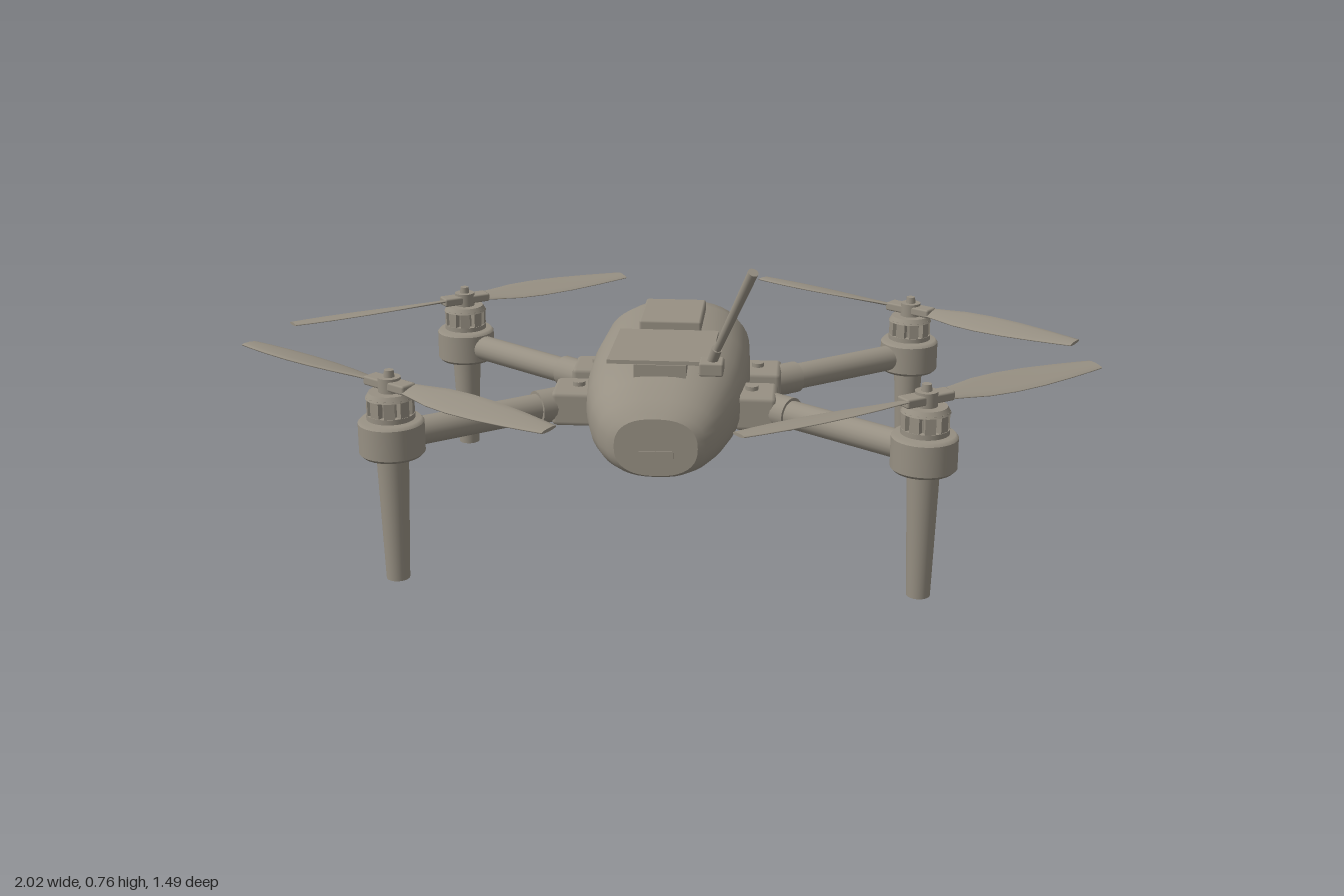
import * as THREE from 'three';
import { RoundedBoxGeometry } from 'three/addons/geometries/RoundedBoxGeometry.js';

const grey = new THREE.MeshStandardMaterial({ color: 0x979083 });
grey.name = 'warm grey';

function add(parent, name, geometry, x = 0, y = 0, z = 0) {
  const mesh = new THREE.Mesh(geometry, grey);
  mesh.name = name;
  mesh.position.set(x, y, z);
  parent.add(mesh);
  return mesh;
}
const box = (w, h, d) => new THREE.BoxGeometry(w, h, d);
const cyl = (top, bottom, h, n = 32) => new THREE.CylinderGeometry(top, bottom, h, n);
const soft = (w, h, d, r) => new RoundedBoxGeometry(w, h, d, 1, r);

// Rod from point a to point b
function rod(parent, name, a, b, ra, rb = ra, sides = 20) {
  const from = new THREE.Vector3(...a), to = new THREE.Vector3(...b);
  const dir = to.clone().sub(from);
  const mesh = add(parent, name, cyl(rb, ra, dir.length(), sides));
  mesh.position.copy(from).add(to).multiplyScalar(0.5);
  mesh.quaternion.setFromUnitVectors(new THREE.Vector3(0, 1, 0), dir.normalize());
  return mesh;
}

// Skin over equal-length rings of points, with flat sharp end caps
function loft(rings) {
  const n = rings[0].length, pos = rings.flat(2), index = [];
  for (let i = 0; i < rings.length - 1; i++)
    for (let j = 0; j < n; j++) {
      const k = (j + 1) % n, a = i * n + j, b = i * n + k;
      index.push(a, b, b + n, a, b + n, a + n);
    }
  [[rings[0], true], [rings[rings.length - 1], false]].forEach(([ring, first]) => {
    const start = pos.length / 3;
    pos.push(...ring.flat());
    for (let j = 1; j < n - 1; j++)
      index.push(start, start + (first ? j + 1 : j), start + (first ? j : j + 1));
  });
  const g = new THREE.BufferGeometry();
  g.setAttribute('position', new THREE.Float32BufferAttribute(pos, 3));
  g.setIndex(index);
  g.computeVertexNormals();
  return g;
}

// Fuselage: rounded cross-sections as z, half width, bottom, top
function bodyGeometry() {
  const sections = [
    [-0.425, 0.11, 0.27, 0.405], [-0.405, 0.132, 0.258, 0.422], [-0.3, 0.163, 0.247, 0.463],
    [-0.2, 0.183, 0.24, 0.483], [0, 0.193, 0.235, 0.488], [0.15, 0.19, 0.235, 0.488],
    [0.27, 0.178, 0.24, 0.48], [0.36, 0.158, 0.247, 0.463], [0.41, 0.135, 0.253, 0.435],
    [0.435, 0.112, 0.258, 0.41], [0.445, 0.095, 0.264, 0.4]];
  const power = 0.82, bend = (v) => Math.sign(v) * Math.abs(v) ** power;
  return loft(sections.map(([z, w, lo, hi]) => Array.from({ length: 40 }, (_, j) => {
    const a = (j / 40) * Math.PI * 2;
    return [w * bend(Math.cos(a)), (lo + hi) / 2 + ((hi - lo) / 2) * bend(Math.sin(a)), z];
  })));
}

// Twisted blade along +x
function bladeGeometry() {
  const stations = [[0.045, 0.02], [0.09, 0.028], [0.15, 0.041], [0.22, 0.047],
    [0.3, 0.046], [0.38, 0.039], [0.44, 0.031], [0.482, 0.024]];
  return loft(stations.map(([x, half]) => {
    const pitch = 0.3 - 0.45 * x;
    return Array.from({ length: 10 }, (_, j) => {
      const a = (j / 10) * Math.PI * 2, y = 0.004 * Math.cos(a), z = half * Math.sin(a);
      return [x, y * Math.cos(pitch) - z * Math.sin(pitch), y * Math.sin(pitch) + z * Math.cos(pitch)];
    });
  }));
}

// One arm with its hinge, motor, leg and propeller
function rotorArm(sx, sz, blade) {
  const g = new THREE.Group();
  g.name = (sz > 0 ? 'front' : 'rear') + (sx > 0 ? 'Left' : 'Right') + 'Arm';
  const base = sz > 0 ? 0.305 : 0.24, y = base + 0.042;
  const mx = 0.598 * sx, mz = 0.457 * sz;

  add(g, 'hinge', soft(0.1, 0.085, 0.12, 0.012), 0.215 * sx, y, 0.188 * sz);
  add(g, 'hingeBolt', cyl(0.015, 0.015, 0.105, 16), 0.205 * sx, y, 0.188 * sz);
  rod(g, 'collar', [0.235 * sx, y, 0.19 * sz], [0.3 * sx, y, 0.238 * sz], 0.04);
  rod(g, 'armTube', [0.24 * sx, y, 0.194 * sz], [0.57 * sx, y, 0.436 * sz], 0.033);

  // Motor cup, leg and slotted motor
  add(g, 'motorCup', new THREE.LatheGeometry([[0, 0], [0.068, 0], [0.075, 0.007], [0.075, 0.007],
    [0.075, 0.078], [0.075, 0.078], [0.068, 0.086], [0, 0.086]]
    .map(([r, h]) => new THREE.Vector2(r, h)), 32), mx, base, mz);
  add(g, 'leg', cyl(0.037, 0.027, base, 24), mx, base / 2, mz);
  add(g, 'motorCore', cyl(0.04, 0.04, 0.064), mx, base + 0.118, mz);
  add(g, 'motorRim', cyl(0.055, 0.055, 0.012), mx, base + 0.093, mz);
  add(g, 'motorCap', cyl(0.048, 0.056, 0.014), mx, base + 0.143, mz);
  for (let i = 0; i < 9; i++) {
    const a = (i / 9) * Math.PI * 2;
    add(g, 'motorRib', box(0.014, 0.045, 0.024),
      mx + 0.046 * Math.cos(a), base + 0.118, mz - 0.046 * Math.sin(a)).rotation.y = a;
  }

  // Propeller
  const prop = new THREE.Group();
  prop.name = 'propeller';
  prop.position.set(mx, base + 0.167, mz);
  prop.rotation.y = 0.594 * sx * sz;
  add(prop, 'bladeClamp', soft(0.13, 0.022, 0.042, 0.005));
  add(prop, 'hub', cyl(0.026, 0.026, 0.034, 24));
  add(prop, 'hubNut', cyl(0.011, 0.014, 0.034, 12), 0, 0.016, 0);
  for (const turn of [0, Math.PI]) add(prop, 'blade', blade).rotation.y = turn;
  g.add(prop);
  return g;
}

// Camera with its yoke, facing -z
function gimbal() {
  const g = new THREE.Group();
  g.name = 'gimbalCamera';
  const y = 0.113, c = 0.025;
  const outline = new THREE.Shape([[-0.1 + c, -0.08], [0.1 - c, -0.08], [0.1, -0.08 + c], [0.1, 0.08 - c],
    [0.1 - c, 0.08], [-0.1 + c, 0.08], [-0.1, 0.08 - c], [-0.1, -0.08 + c]]
    .map(([a, b]) => new THREE.Vector2(a, b)));
  add(g, 'cameraBody', new THREE.ExtrudeGeometry(outline, {
    depth: 0.135, bevelEnabled: true, bevelSegments: 1, bevelThickness: 0.02, bevelSize: 0.02, bevelOffset: -0.02,
  }), 0, y, -0.53);
  // Open lens barrel with a recessed glass
  const profile = [[0, 0], [0.066, 0], [0.066, 0.055], [0.066, 0.055], [0.074, 0.058], [0.074, 0.058],
    [0.074, 0.075], [0.074, 0.075], [0.056, 0.075], [0.056, 0.075], [0.048, 0.05], [0.048, 0.05], [0, 0.056]];
  add(g, 'lens', new THREE.LatheGeometry(profile.map(([r, h]) => new THREE.Vector2(r, h)), 32),
    0, y + 0.004, -0.55).rotation.x = -Math.PI / 2;
  // Yoke and pivots
  add(g, 'yokeBar', box(0.28, 0.025, 0.025), 0, 0.152, -0.372);
  add(g, 'yokeStem', box(0.035, 0.1, 0.035), 0, 0.208, -0.372);
  add(g, 'mountPlate', box(0.12, 0.02, 0.1), 0, 0.24, -0.345);
  add(g, 'topMount', box(0.1, 0.014, 0.08), 0, 0.198, -0.45);
  for (const s of [-1, 1]) {
    add(g, 'yokePlate', soft(0.02, 0.125, 0.046, 0.004), 0.14 * s, 0.162, -0.378);
    rod(g, 'pivotPin', [0.09 * s, 0.15, -0.465], [0.13 * s, 0.15, -0.465], 0.012);
    rod(g, 'pivotDisc', [0.124 * s, 0.15, -0.465], [0.145 * s, 0.15, -0.465], 0.027);
  }
  return g;
}

export function createModel() {
  const drone = new THREE.Group();
  drone.name = 'quadcopter';

  add(drone, 'body', bodyGeometry());
  add(drone, 'topHatch', soft(0.15, 0.03, 0.195, 0.006), 0, 0.496, -0.047);
  add(drone, 'rearDeckPlate', box(0.237, 0.009, 0.29), 0, 0.498, 0.215).rotation.x = -0.05;
  add(drone, 'deckSupport', box(0.12, 0.05, 0.2), 0, 0.468, 0.24);
  add(drone, 'noseSlot', box(0.08, 0.016, 0.008), 0, 0.316, 0.444);

  // Rear sensors
  for (const s of [-1, 1])
    rod(drone, 'sensor', [0.085 * s, 0.375, -0.4], [0.085 * s, 0.375, -0.44], 0.026, 0.022);

  // Whip antenna
  add(drone, 'antennaBase', soft(0.055, 0.032, 0.055, 0.005), 0.12, 0.501, 0.365);
  rod(drone, 'antennaJoint', [0.12, 0.51, 0.365], [0.133, 0.55, 0.385], 0.012);
  rod(drone, 'antenna', [0.13, 0.54, 0.38], [0.216, 0.758, 0.493], 0.009, 0.012, 12);

  // Belly equipment
  add(drone, 'bellyPlate', box(0.14, 0.012, 0.19), 0, 0.229, 0.05);
  add(drone, 'bellySensor', box(0.035, 0.065, 0.037), 0, 0.188, -0.03);
  add(drone, 'bellySensorStem', box(0.014, 0.03, 0.014), 0, 0.225, -0.03);
  rod(drone, 'bellyProbe', [0, 0.228, 0.12], [0, 0.18, 0.145], 0.005, 0.005, 8);

  const blade = bladeGeometry();
  for (const sx of [-1, 1]) for (const sz of [-1, 1]) drone.add(rotorArm(sx, sz, blade));
  drone.add(gimbal());
  return drone;
}
